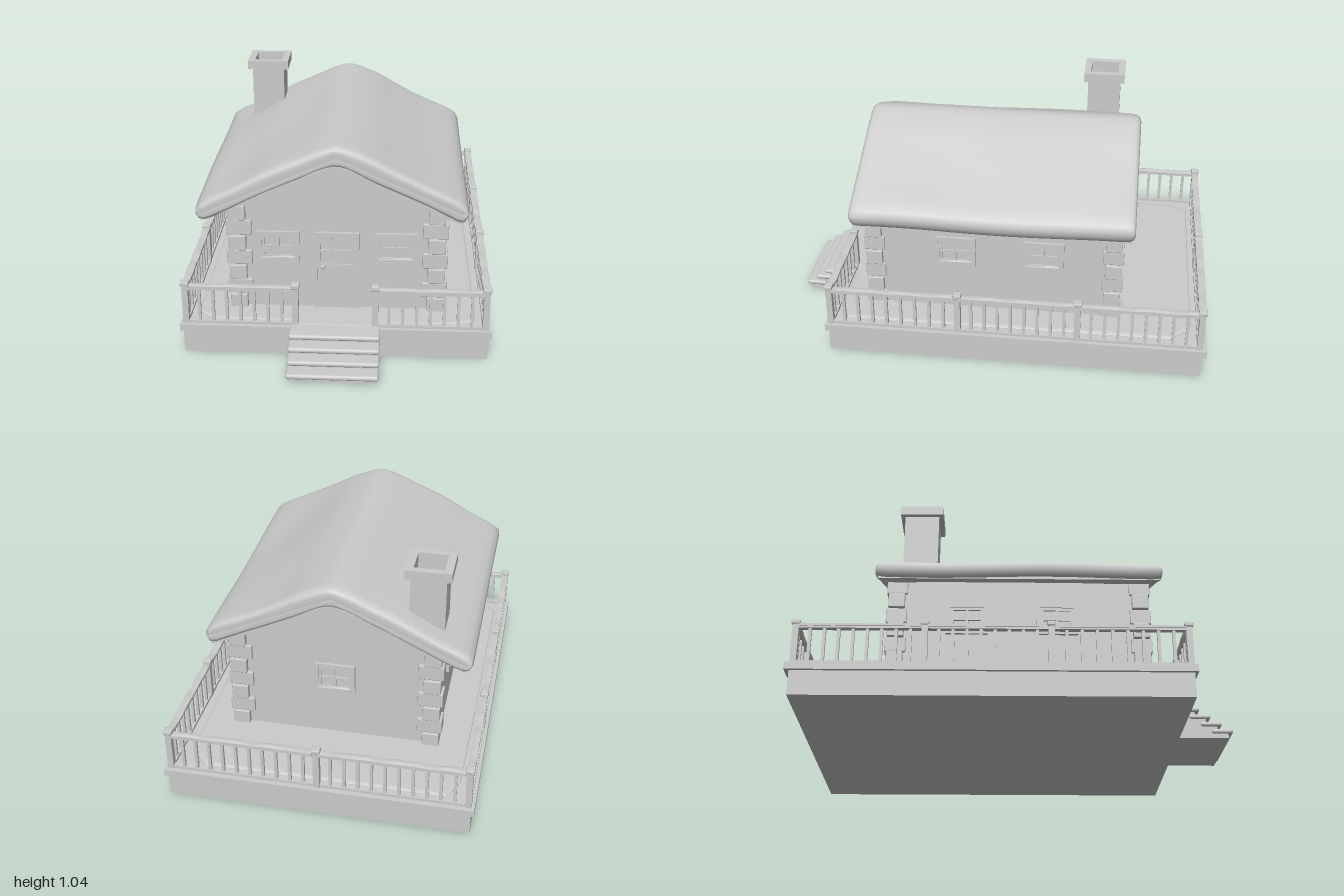
import * as THREE from 'three';
import { RoundedBoxGeometry } from 'three/addons/geometries/RoundedBoxGeometry.js';

const mat = new THREE.MeshStandardMaterial({ color: 0xcccccc });

function add(parent, name, geo, x = 0, y = 0, z = 0) {
  const m = new THREE.Mesh(geo, mat);
  m.name = name;
  m.position.set(x, y, z);
  parent.add(m);
  return m;
}

// box given by its min and max on each axis
function block(parent, name, x0, x1, y0, y1, z0, z1) {
  return add(parent, name, new THREE.BoxGeometry(x1 - x0, y1 - y0, z1 - z0),
    (x0 + x1) / 2, (y0 + y1) / 2, (z0 + z1) / 2);
}

const poly = pts => new THREE.Shape(pts.map(p => new THREE.Vector2(...p)));
const rect = (x0, x1, y0, y1) => [[x0, y0], [x1, y0], [x1, y1], [x0, y1]];

function extrude(pts, depth, holes = []) {
  const s = poly(pts);
  holes.forEach(h => s.holes.push(new THREE.Path(h.map(p => new THREE.Vector2(...p)).reverse())));
  return new THREE.ExtrudeGeometry(s, { depth, bevelEnabled: false });
}

// grid of pane openings within a rectangle
function panes(x0, x1, y0, y1, nx, ny, bar) {
  const w = (x1 - x0 - bar * (nx - 1)) / nx, h = (y1 - y0 - bar * (ny - 1)) / ny, out = [];
  for (let i = 0; i < nx; i++) for (let j = 0; j < ny; j++) {
    const x = x0 + i * (w + bar), y = y0 + j * (h + bar);
    out.push(rect(x, x + w, y, y + h));
  }
  return out;
}

// bar of snow along x with an uneven top
function snowBar(len, h, d) {
  const g = new RoundedBoxGeometry(len, h, d, 2, h * 0.45);
  const b = new THREE.BoxGeometry(len, h, d, Math.max(8, Math.round(len * 40)), 2, 4);
  g.dispose();
  const p = b.attributes.position;
  for (let i = 0; i < p.count; i++) {
    const x = p.getX(i), z = p.getZ(i);
    const edge = 1 - 0.5 * Math.pow(Math.abs(z) / (d / 2), 4);
    if (p.getY(i) > 0) p.setY(i, h * (0.35 + 0.15 * Math.sin(x * 31) + 0.1 * Math.sin(x * 53 + 1)) * edge);
    p.setZ(i, z * (1 + 0.06 * Math.sin(x * 40 + 2)));
  }
  b.computeVertexNormals();
  return b;
}

function makeWindow() {
  const g = new THREE.Group();
  g.name = 'window';
  add(g, 'windowFrame', extrude(rect(-0.095, 0.095, -0.075, 0.075), 0.014, [rect(-0.075, 0.075, -0.058, 0.058)]));
  add(g, 'windowSash', extrude(rect(-0.075, 0.075, -0.058, 0.058), 0.009, panes(-0.062, 0.062, -0.045, 0.045, 2, 2, 0.012)));
  add(g, 'windowSill', snowBar(0.15, 0.016, 0.02), 0, -0.052, 0.01);
  return g;
}

// railing from (x0,z0) to (x1,z1) with n balusters
function railing(parent, x0, z0, x1, z1, n) {
  const len = Math.hypot(x1 - x0, z1 - z0), g = new THREE.Group();
  g.name = 'railing';
  g.position.set((x0 + x1) / 2, 0, (z0 + z1) / 2);
  g.rotation.y = -Math.atan2(z1 - z0, x1 - x0);
  block(g, 'topRail', -len / 2, len / 2, 0.315, 0.328, -0.013, 0.013);
  block(g, 'bottomRail', -len / 2, len / 2, 0.147, 0.16, -0.012, 0.012);
  add(g, 'railSnow', snowBar(len - 0.03, 0.016, 0.034), 0, 0.332, 0);
  for (let i = 1; i <= n; i++) {
    const x = -len / 2 + len * i / (n + 1);
    block(g, 'baluster', x - 0.007, x + 0.007, 0.155, 0.32, -0.007, 0.007);
  }
  parent.add(g);
}

// rounded blanket of snow lofted along z from one closed section
function roofSnow() {
  const pts = [[0, 0.963], [-0.08, 0.942], [-0.16, 0.905], [-0.33, 0.83], [-0.46, 0.762], [-0.595, 0.695], [-0.63, 0.66],
    [-0.605, 0.608], [-0.54, 0.628], [-0.41, 0.692], [-0.2, 0.79], [0, 0.868], [0.18, 0.79], [0.38, 0.695],
    [0.5, 0.632], [0.56, 0.608], [0.583, 0.668], [0.56, 0.698], [0.385, 0.787], [0.235, 0.868], [0.16, 0.91], [0.08, 0.943]];
  const curve = new THREE.CatmullRomCurve3(pts.map(p => new THREE.Vector3(p[0], p[1], 0)), true);
  const ring = curve.getSpacedPoints(96).slice(0, 96), n = 96;
  const rows = [[-0.645, 0], [-0.648, 0.5], [-0.642, 0.78], [-0.628, 0.94], [-0.6, 1]];
  for (let i = 1; i < 14; i++) rows.push([-0.6 + i * 1.2 / 14, 1]);
  rows.push([0.6, 1], [0.628, 0.94], [0.642, 0.78], [0.648, 0.5], [0.645, 0]);
  const pos = [], idx = [];
  rows.forEach(([z, s]) => ring.forEach(p => {
    const mid = 0.915 - 0.44 * Math.abs(p.x);
    const wave = 0.005 * Math.sin(z * 6 + p.x * 9) * Math.min(1, Math.abs(p.x) * 3);
    pos.push(p.x * (0.97 + 0.03 * s), mid + (p.y - mid) * s + wave * s, z);
  }));
  for (let r = 0; r < rows.length - 1; r++) for (let i = 0; i < n; i++) {
    const a = r * n + i, b = r * n + (i + 1) % n;
    idx.push(a, b, a + n, b, b + n, a + n);
  }
  const g = new THREE.BufferGeometry();
  g.setAttribute('position', new THREE.Float32BufferAttribute(pos, 3));
  g.setIndex(idx);
  g.computeVertexNormals();
  return g;
}

export function createModel() {
  const root = new THREE.Group();
  root.name = 'snowyCabin';

  // platform
  block(root, 'foundation', -0.685, 0.685, 0, 0.115, -0.98, 0.75);
  block(root, 'deck', -0.7, 0.7, 0.113, 0.145, -1, 0.765);
  const drift = new THREE.ExtrudeGeometry(poly([[-0.56, 0.91], [0.52, 0.91], [0.6, 0.83], [0.61, -0.3], [0.61, -0.66],
    [0.5, -0.7], [0.19, -0.7], [0.17, -0.74], [-0.17, -0.74], [-0.19, -0.7], [-0.55, -0.69], [-0.61, -0.64], [-0.61, 0.2], [-0.6, 0.83]]),
    { depth: 0.003, bevelThickness: 0.008, bevelSize: 0.02, bevelSegments: 3 });
  drift.rotateX(-Math.PI / 2);
  add(root, 'deckSnow', drift, 0, 0.144, 0);

  // steps, each with its snow
  for (let i = 0; i < 4; i++) {
    const top = 0.033 + i * 0.036, front = 0.99 - i * 0.05;
    block(root, 'step', -0.195, 0.195, 0, top - 0.008, 0.74, front - 0.012);
    const back = i === 3 ? 0.72 : front - 0.09;
    add(root, 'stepSnow', new RoundedBoxGeometry(0.405, 0.024, front + 0.01 - back, 3, 0.011),
      0, top, (front + 0.01 + back) / 2);
  }

  // walls with gables
  add(root, 'walls', extrude([[-0.48, 0.14], [0.48, 0.14], [0.48, 0.66], [0, 0.855], [-0.48, 0.66]], 1.16), 0, 0, -0.58);

  // corner stones, alternating long and short
  for (const sx of [-1, 1]) for (const sz of [-1, 1]) for (let i = 0; i < 7; i++) {
    const y = 0.148 + i * 0.0735, long = i % 2 === 1;
    const [w, d, ox, oz] = long ? [0.115, 0.075, 0.5, 0.595] : [0.078, 0.095, 0.489, 0.604];
    add(root, 'cornerStone', new RoundedBoxGeometry(w, 0.072, d, 1, 0.004),
      sx * (ox - w / 2), y + 0.036, sz * (oz - d / 2));
  }

  // roof boards and snow
  add(root, 'roofBoards', extrude([[-0.605, 0.605], [0, 0.845], [0.56, 0.605], [0.56, 0.635], [0, 0.878], [-0.605, 0.635]].reverse(), 1.27),
    0, 0, -0.635);
  add(root, 'roofSnow', roofSnow());

  // chimney, open at the top
  const hole = rect(-0.068, 0.068, -0.068, 0.068);
  const shaft = extrude(rect(-0.08, 0.08, -0.08, 0.08), 0.35, [hole]);
  const cap = extrude(rect(-0.103, 0.103, -0.1, 0.1), 0.044, [hole]);
  [shaft, cap].forEach(g => g.rotateX(-Math.PI / 2));
  add(root, 'chimneyShaft', shaft, -0.408, 0.66, -0.457);
  add(root, 'chimneyCap', cap, -0.408, 1.001, -0.457);

  // windows: x, z and turn
  const h = Math.PI / 2;
  for (const [x, z, turn] of [[-0.265, 0.58, 0], [0.265, 0.58, 0], [0, -0.58, 2 * h],
    [0.48, 0.175, h], [0.48, -0.235, h], [-0.48, 0.175, -h], [-0.48, -0.235, -h]]) {
    const w = makeWindow();
    w.position.set(x, 0.46, z);
    w.rotation.y = turn;
    root.add(w);
  }

  // door
  const door = new THREE.Group();
  door.name = 'door';
  door.position.z = 0.58;
  add(door, 'doorFrame', extrude(rect(-0.1, 0.1, 0.145, 0.535), 0.016, [rect(-0.088, 0.088, 0.15, 0.523)]));
  add(door, 'doorLeaf', extrude(rect(-0.088, 0.088, 0.15, 0.523), 0.009, panes(-0.074, 0.074, 0.375, 0.51, 3, 2, 0.01)));
  add(door, 'doorKnob', new THREE.SphereGeometry(0.009, 12, 8), -0.064, 0.366, 0.018);
  root.add(door);

  // posts and railings
  const X = 0.672, zs = [0.738, 0.14, -0.41, -0.967];
  const posts = [[0, zs[3]], [0.178, zs[0]], [-0.178, zs[0]]];
  for (const s of [-1, 1]) {
    zs.forEach(z => posts.push([s * X, z]));
    for (let i = 0; i < 3; i++) railing(root, s * X, zs[i], s * X, zs[i + 1], 8);
    railing(root, s * 0.178, zs[0], s * X, zs[0], 7);
    railing(root, 0, zs[3], s * X, zs[3], 10);
  }
  for (const [x, z] of posts) {
    block(root, 'post', x - 0.014, x + 0.014, 0.14, 0.335, z - 0.014, z + 0.014);
    add(root, 'postCap', new RoundedBoxGeometry(0.038, 0.02, 0.038, 1, 0.004), x, 0.342, z);
  }
  return root;
}
